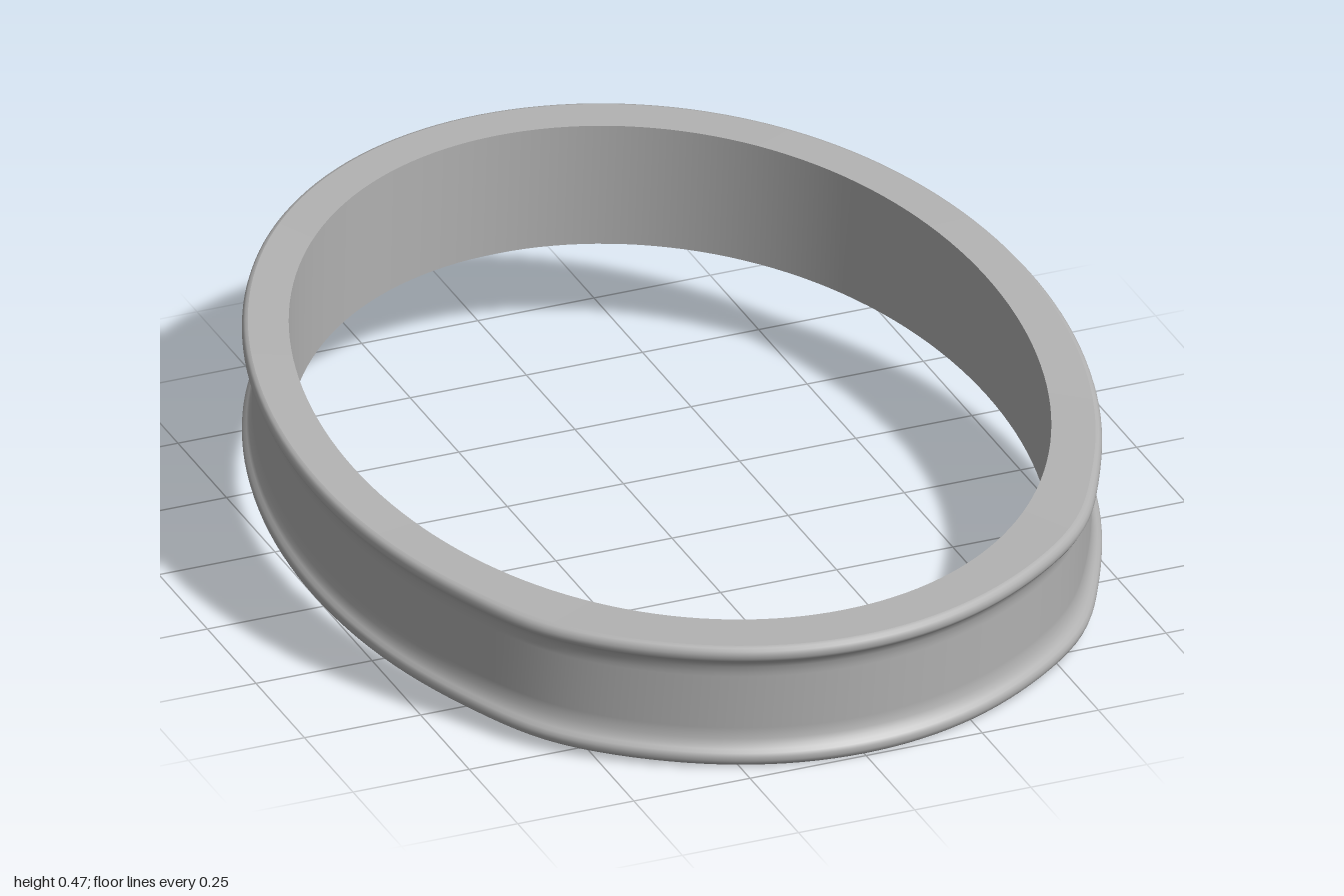
import * as THREE from 'three';

const WIDTH = 0.095; // radial thickness of the band
const HEIGHT = 0.265;

// Rise of the band from front to back, a gentle S curve
const rise = (z) => 0.102 * (1 - Math.sin(1.2 * z) / Math.sin(1.2));

// Point on the oval at angle a, inset by d from the rim
function ovalPoint(a, d, y) {
  const k = d / WIDTH;
  const z = (1 - 1.12 * d) * Math.cos(a) - 0.01 * k;
  let x = (0.826 - d) * Math.sin(a);
  // slight shoulder on the outside, near the front
  x *= 1 + 0.035 * (1 - k) * Math.exp(-Math.pow((z - 0.76) / 0.13, 2));
  return [x, y + rise(z), z];
}

// Sweep an open run of [inset, height] points round the oval
function sweep(name, profile, material, segments = 160) {
  const pos = [], index = [];
  const n = profile.length;
  for (let i = 0; i < segments; i++) {
    const a = (i / segments) * Math.PI * 2;
    for (const [d, y] of profile) pos.push(...ovalPoint(a, d, y));
  }
  for (let i = 0; i < segments; i++) {
    const p = i * n, q = ((i + 1) % segments) * n;
    for (let j = 0; j < n - 1; j++) {
      index.push(p + j, q + j, q + j + 1, p + j, q + j + 1, p + j + 1);
    }
  }
  const g = new THREE.BufferGeometry();
  g.setAttribute('position', new THREE.Float32BufferAttribute(pos, 3));
  g.setIndex(index);
  g.computeVertexNormals();
  const mesh = new THREE.Mesh(g, material);
  mesh.name = name;
  return mesh;
}

export function createModel() {
  const group = new THREE.Group();
  group.name = 'ovalBand';
  const metal = new THREE.MeshStandardMaterial({ color: 0xb0b0b0 });
  metal.name = 'grey metal';

  // Lower half of the outside: rounded rim, then fillet into the groove
  const lower = [
    [0.012, 0], [0.006, 0.002], [0.002, 0.007], [0, 0.014], [0, 0.022],
    [0.003, 0.029], [0.009, 0.034], [0.014, 0.041], [0.018, 0.052], [0.02, 0.066],
    [0.02, 0.075],
  ];
  const upper = lower.map(([d, y]) => [d, HEIGHT - y]).reverse();

  group.add(sweep('groovedOuterWall', [...lower, ...upper], metal));
  group.add(sweep('topFace', [[0.012, HEIGHT], [WIDTH, HEIGHT]], metal));
  group.add(sweep('innerWall', [[WIDTH, HEIGHT], [WIDTH, 0]], metal));
  group.add(sweep('bottomFace', [[WIDTH, 0], [0.012, 0]], metal));
  return group;
}
